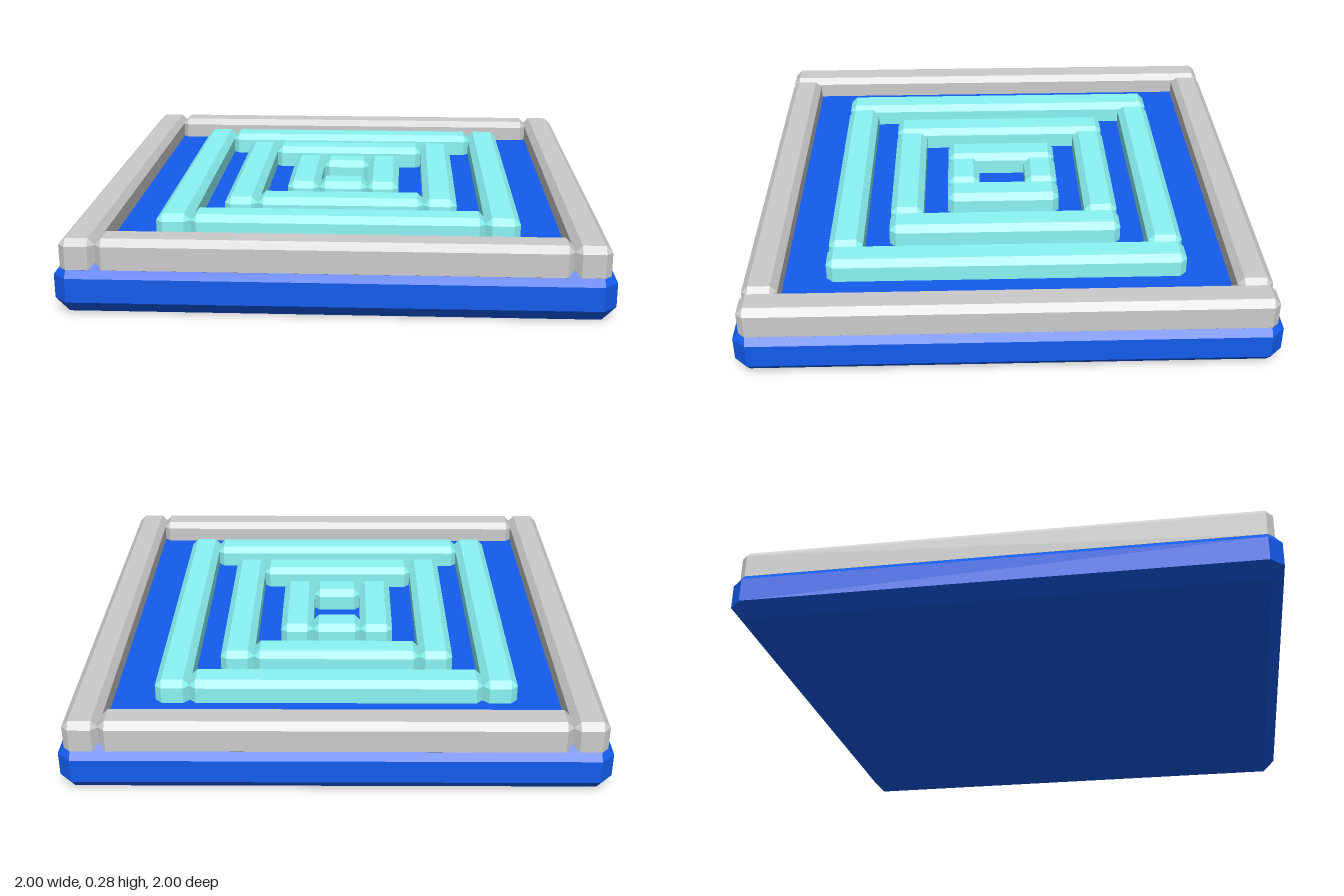
import * as THREE from 'three';
import { ConvexGeometry } from 'three/addons/geometries/ConvexGeometry.js';

// Box with every edge and corner cut off at distance c
function chamferBox(w, h, d, c) {
  const points = [];
  for (const sx of [-1, 1]) for (const sy of [-1, 1]) for (const sz of [-1, 1]) {
    const x = w / 2, y = h / 2, z = d / 2;
    points.push(
      new THREE.Vector3(sx * x, sy * (y - c), sz * (z - c)),
      new THREE.Vector3(sx * (x - c), sy * y, sz * (z - c)),
      new THREE.Vector3(sx * (x - c), sy * (y - c), sz * z));
  }
  return new ConvexGeometry(points);
}

export function createModel() {
  const model = new THREE.Group();
  model.name = 'tile';
  const material = (color) => new THREE.MeshStandardMaterial({ color, flatShading: true });
  const blue = material(0x135cee), cyan = material(0x8cf5f5), grey = material(0xcccccc);

  const addBlock = (parent, name, mat, size, position, chamfer) => {
    const mesh = new THREE.Mesh(chamferBox(...size, chamfer), mat);
    mesh.name = name;
    mesh.position.set(...position);
    parent.add(mesh);
  };

  // Base slab
  addBlock(model, 'baseSlab', blue, [2, 0.19, 2], [0, 0.095, 0], 0.05);

  // Square frame of four bars: the side bars run full length, the others fit between
  const bar = 0.132, bottom = 0.14, top = 0.277;
  const addFrame = (name, half, mat) => {
    const frame = new THREE.Group();
    frame.name = name;
    const h = top - bottom, y = (top + bottom) / 2, centre = half - bar / 2;
    for (const s of [-1, 1]) {
      addBlock(frame, s > 0 ? 'leftBar' : 'rightBar', mat,
        [bar, h, 2 * half], [s * centre, y, 0], 0.025);
      addBlock(frame, s > 0 ? 'frontBar' : 'backBar', mat,
        [2 * (half - bar) + 0.006, h, bar], [0, y, s * centre], 0.025);
    }
    model.add(frame);
  };

  // Rim and the three nested rings
  addFrame('rim', 0.976, grey);
  addFrame('outerRing', 0.684, cyan);
  addFrame('middleRing', 0.456, cyan);
  addFrame('innerRing', 0.228, cyan);

  return model;
}
